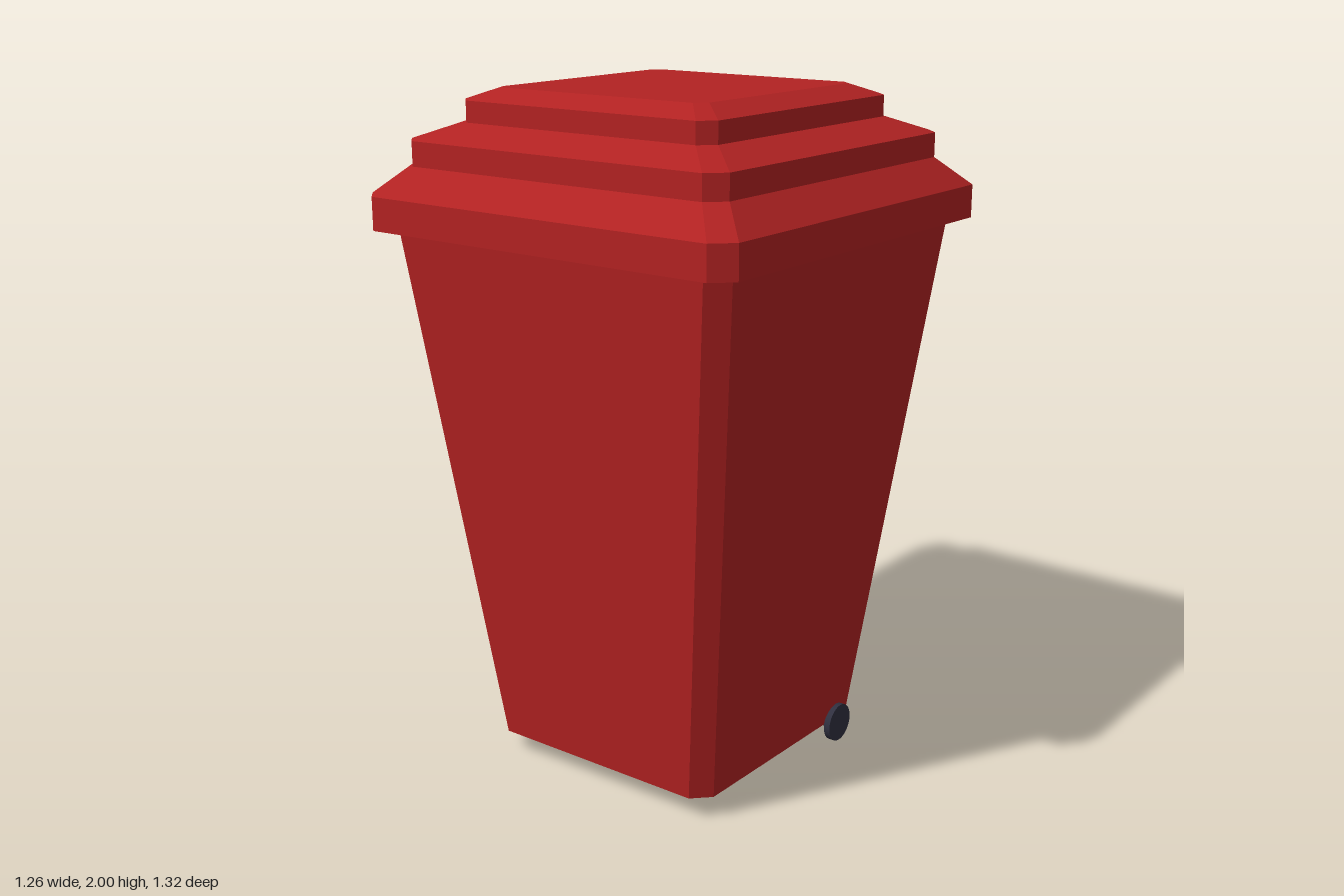
import * as THREE from 'three';

const mat = (name, color, extra = {}) => {
  const m = new THREE.MeshStandardMaterial({ color, ...extra });
  m.name = name;
  return m;
};

// Square outline with chamfered corners, half width h and chamfer c, as [x, z]
const outline = (h, c) => {
  const k = h - c;
  return [[k, h], [h, k], [h, -k], [k, -h], [-k, -h], [-h, -k], [-h, k], [-k, h]];
};

// Skin stacked outlines [y, half width, chamfer]; optional caps at the ends
function loft(sections, capBottom, capTop) {
  const pos = [];
  const rings = sections.map(([y, h, c]) => outline(h, c).map(([x, z]) => [x, y, z]));
  const tri = (a, b, c) => pos.push(...a, ...b, ...c);
  for (let s = 0; s < rings.length - 1; s++) {
    const lo = rings[s], hi = rings[s + 1];
    for (let i = 0; i < 8; i++) {
      const j = (i + 1) % 8;
      tri(lo[i], lo[j], hi[j]);
      tri(lo[i], hi[j], hi[i]);
    }
  }
  const first = rings[0], last = rings[rings.length - 1];
  for (let i = 1; i < 7; i++) {
    if (capBottom) tri(first[0], first[i + 1], first[i]);
    if (capTop) tri(last[0], last[i], last[i + 1]);
  }
  const g = new THREE.BufferGeometry();
  g.setAttribute('position', new THREE.Float32BufferAttribute(pos, 3));
  g.computeVertexNormals();
  return g;
}

export function createModel() {
  const group = new THREE.Group();
  const red = mat('red plastic', 0xb22222);
  const dark = mat('dark rubber', 0x30303f);
  const grey = mat('axle grey', 0x636060);
  const pale = mat('rim grey', 0xc4bcb8);
  const add = (name, geo, material, x = 0, y = 0, z = 0) => {
    const m = new THREE.Mesh(geo, material);
    m.name = name;
    m.position.set(x, y, z);
    group.add(m);
    return m;
  };
  const cz = 0.03;

  // Tapered body
  add('body', loft([[0.068, 0.395, 0.05], [1.615, 0.578, 0.052]], true, false), red, 0, 0, cz);

  // Stepped lid
  add('lid', loft([
    [1.615, 0.63, 0.055], [1.71, 0.63, 0.055],
    [1.79, 0.545, 0.048], [1.86, 0.545, 0.048],
    [1.907, 0.434, 0.04], [1.967, 0.434, 0.04],
    [2.0, 0.355, 0.03],
  ], false, true), red, 0, 0, cz);

  // Underside of the lid rim
  add('lidRim', loft([[1.615, 0.57, 0.05], [1.615, 0.63, 0.055]], false, false), pale, 0, 0, cz);

  // Wheels and axle
  const wheel = new THREE.CylinderGeometry(0.058, 0.058, 0.02, 32).rotateZ(Math.PI / 2);
  for (const side of [-1, 1]) {
    add(side > 0 ? 'leftWheel' : 'rightWheel', wheel, dark, side * 0.407, 0.06, -0.25);
  }
  add('axle', new THREE.CylinderGeometry(0.022, 0.022, 0.8, 24).rotateZ(Math.PI / 2), grey, 0, 0.057, -0.25);

  // Rear handle: tapered brackets and a thin bar
  const profile = new THREE.Shape([
    [-0.59, 1.64], [-0.59, 1.69], [-0.605, 1.688], [-0.635, 1.676],
    [-0.655, 1.676], [-0.66, 1.665], [-0.655, 1.652], [-0.635, 1.652], [-0.605, 1.642],
  ].map(([z, y]) => new THREE.Vector2(-z, y)));
  for (const [name, x0, x1] of [['rightBracket', -0.393, -0.287], ['leftBracket', 0.24, 0.368]]) {
    const g = new THREE.ExtrudeGeometry(profile, { depth: x1 - x0, bevelEnabled: false });
    g.rotateY(Math.PI / 2);
    add(name, g, dark, x0, 0, 0);
  }
  add('handleBar', new THREE.CylinderGeometry(0.01, 0.01, 0.56, 16).rotateZ(Math.PI / 2), dark, -0.022, 1.664, -0.65);

  return group;
}
